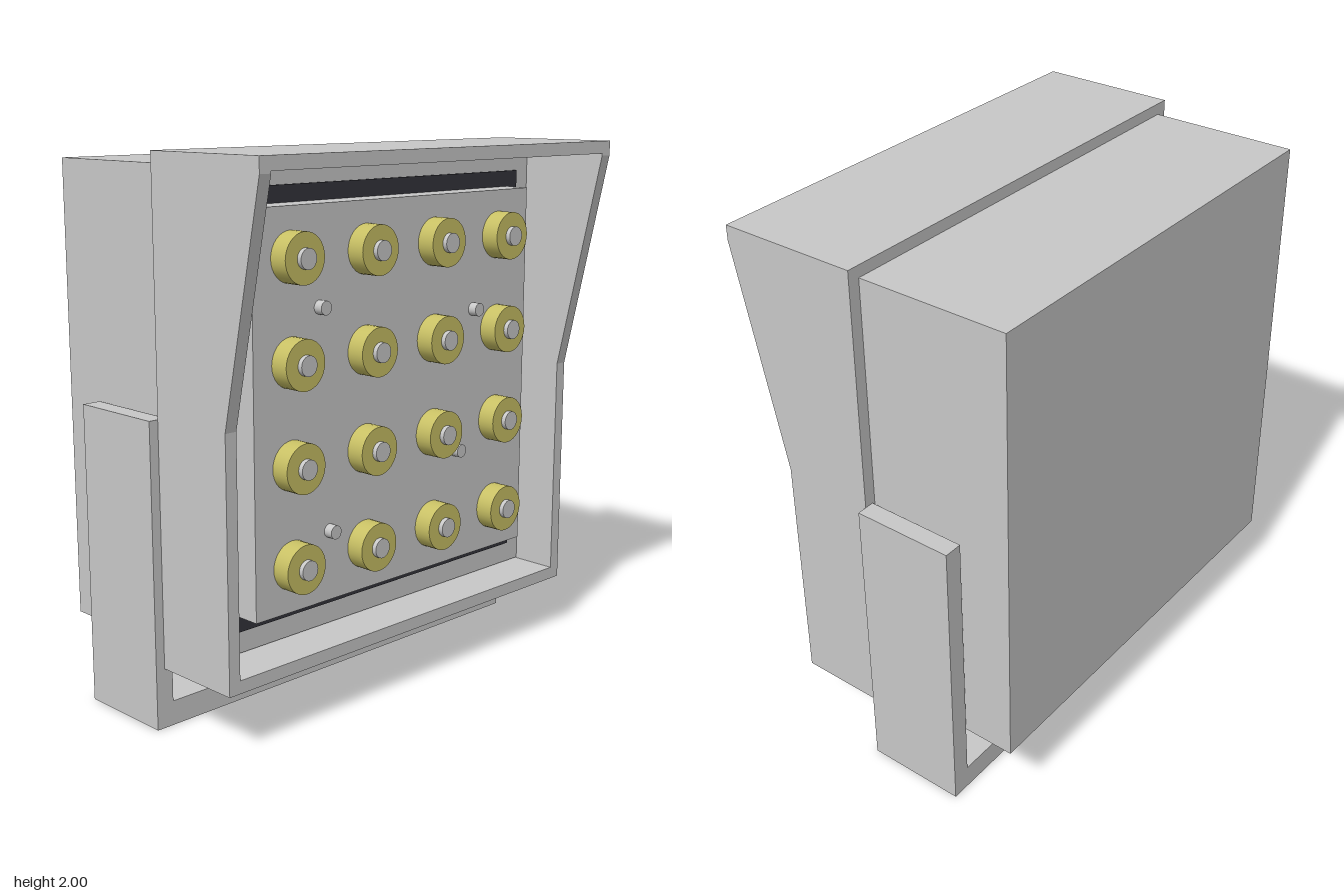
import * as THREE from 'three';

export function createModel() {
  const model = new THREE.Group();
  model.name = 'floodlight';

  const grey = new THREE.MeshStandardMaterial({ name: 'light grey metal', color: 0xc8c8c8 });
  const yellow = new THREE.MeshStandardMaterial({ name: 'yellow emitter', color: 0xc8c064 });
  const dark = new THREE.MeshStandardMaterial({ name: 'dark gasket', color: 0x34343c });

  const add = (name, geometry, material, x = 0, y = 0, z = 0) => {
    const mesh = new THREE.Mesh(geometry, material);
    mesh.name = name;
    mesh.position.set(x, y, z);
    model.add(mesh);
    return mesh;
  };

  // Box given by its limits on each axis
  const box = (name, material, x0, x1, y0, y1, z0, z1) =>
    add(name, new THREE.BoxGeometry(x1 - x0, y1 - y0, z1 - z0), material,
      (x0 + x1) / 2, (y0 + y1) / 2, (z0 + z1) / 2);

  // Closed disc facing +z, from z0 to z1
  const disc = (name, material, radius, x, y, z0, z1) => {
    const geometry = new THREE.CylinderGeometry(radius, radius, z1 - z0, 32);
    geometry.rotateX(Math.PI / 2);
    return add(name, geometry, material, x, y, (z0 + z1) / 2);
  };

  // Housing
  box('housing', grey, -0.842, 0.842, 0.27, 1.957, -0.55, 0.19);

  // Hood: top, bottom and two side walls with a sloped front edge
  const wall = 0.047, outer = 0.887;
  box('hoodTop', grey, -outer, outer, 2 - wall, 2, 0.02, 0.55);
  box('hoodBottom', grey, -outer, outer, 0.22, 0.22 + wall, 0.02, 0.37);
  const profile = new THREE.Shape([
    [0.02, 0.22], [0.37, 0.22], [0.37, 1.12], [0.55, 1.945], [0.55, 2], [0.02, 2],
  ].map(([z, y]) => new THREE.Vector2(z, y)));
  const sideGeometry = new THREE.ExtrudeGeometry(profile, { depth: wall, bevelEnabled: false });
  sideGeometry.rotateY(-Math.PI / 2);
  add('hoodLeftSide', sideGeometry, grey, outer);
  add('hoodRightSide', sideGeometry, grey, -outer + wall);

  // Gasket and raised front panel
  box('gasket', dark, -0.768, 0.768, 0.35, 1.88, 0.188, 0.197);
  box('frontPanel', grey, -0.705, 0.705, 0.413, 1.82, 0.19, 0.30);

  // Grid of emitters, each a yellow disc with a central pin
  for (let row = 0; row < 4; row++) {
    for (let col = 0; col < 4; col++) {
      const x = (col - 1.5) * 0.356;
      const y = 0.583 + row * 0.356;
      disc('emitter', yellow, 0.089, x, y, 0.298, 0.371);
      disc('emitterPin', grey, 0.036, x, y, 0.36, 0.389);
    }
  }

  // Panel screws
  for (const [x, y] of [[-0.403, 1.47], [0.397, 1.38], [0.308, 0.848], [-0.358, 0.67]]) {
    disc('screw', grey, 0.025, x, y, 0.298, 0.335);
  }

  // U-shaped mounting bracket
  const bracket = new THREE.Shape([
    [-0.923, 0], [0.923, 0], [0.923, 1.11], [0.853, 1.11],
    [0.853, 0.09], [-0.853, 0.09], [-0.853, 1.11], [-0.923, 1.11],
  ].map(([x, y]) => new THREE.Vector2(x, y)));
  add('bracket', new THREE.ExtrudeGeometry(bracket, { depth: 0.38, bevelEnabled: false }),
    grey, 0, 0, -0.36);

  return model;
}
